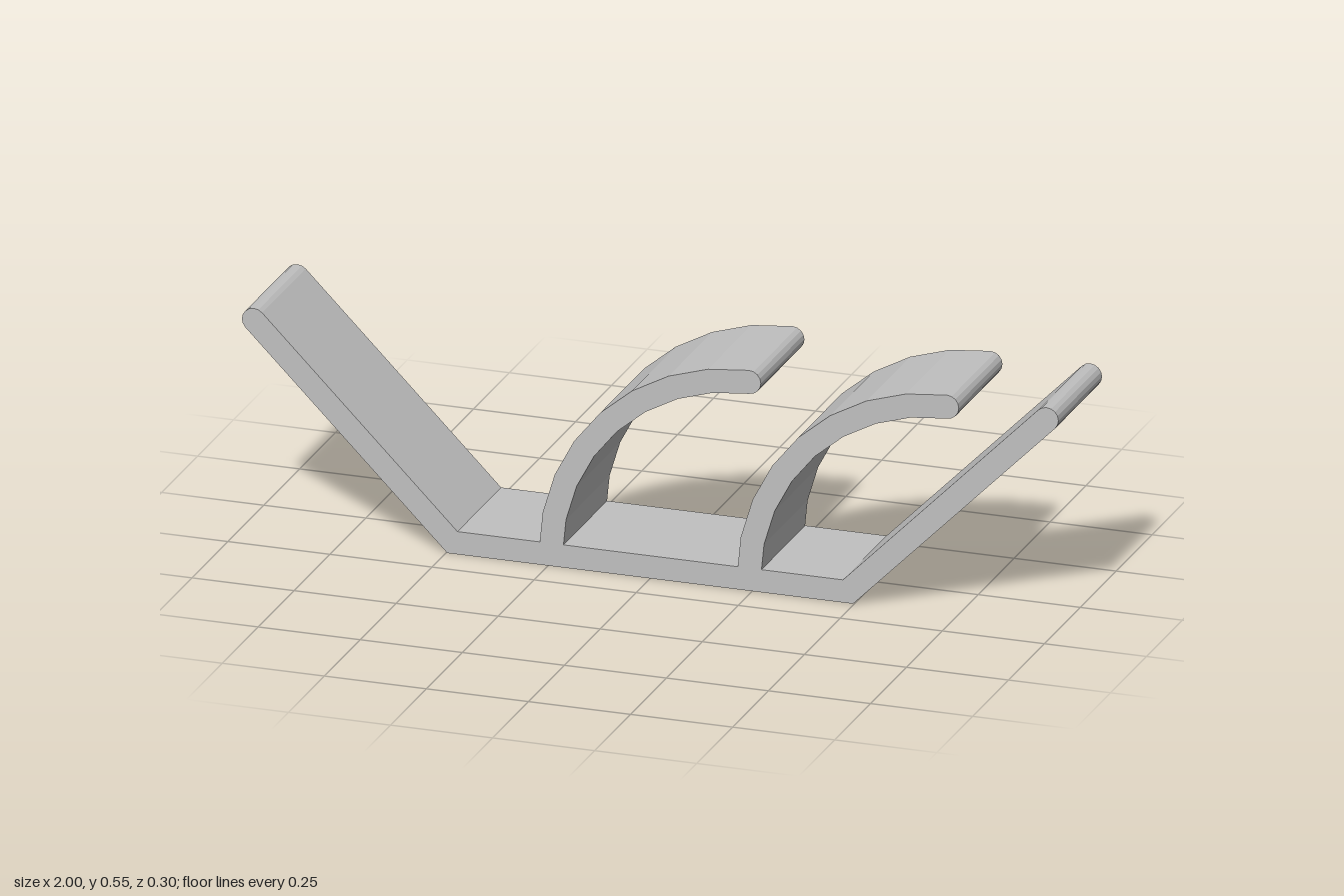
import * as THREE from 'three';

const WIDTH = 0.304;   // depth along z
const HALF = 0.029;    // half the sheet thickness

// points along a circular arc, angles in degrees
function arc(cx, cy, r, from, to, steps) {
  const pts = [];
  for (let i = 0; i <= steps; i++) {
    const a = THREE.MathUtils.degToRad(from + ((to - from) * i) / steps);
    pts.push(new THREE.Vector2(cx + r * Math.cos(a), cy + r * Math.sin(a)));
  }
  return pts;
}

function extrude(name, pts, material) {
  const geo = new THREE.ExtrudeGeometry(new THREE.Shape(pts), { depth: WIDTH, bevelEnabled: false });
  geo.translate(0, 0, -WIDTH / 2);
  const mesh = new THREE.Mesh(geo, material);
  mesh.name = name;
  return mesh;
}

export function createModel() {
  const group = new THREE.Group();
  group.name = 'rack';
  const grey = new THREE.MeshStandardMaterial({ color: 0xc0c0c0, flatShading: true });
  grey.name = 'light grey';

  // tray: flat base with two 45 degree walls ending in rounded lips
  const tipX = 1 - HALF, tipY = 0.545 - HALF;
  const top = HALF * 2 - 0.002;
  const rightHalf = [
    new THREE.Vector2(0.497, 0),
    ...arc(tipX, tipY, HALF, -45, 135, 8),
    new THREE.Vector2(0.472, top),
  ];
  const leftHalf = rightHalf.map((p) => new THREE.Vector2(-p.x, p.y)).reverse();
  group.add(extrude('tray', [...rightHalf, ...leftHalf], grey));

  // curved dividers: faceted quarter arcs with rounded tips, rooted in the base
  const radius = 0.486, cy = tipY - radius;
  for (const [name, cx] of [['leftDivider', 0.727], ['rightDivider', 0.242]]) {
    group.add(extrude(name, [
      ...arc(cx, cy, radius - HALF, 180, 90, 8),
      ...arc(cx, tipY, HALF, -90, 90, 8).slice(1, -1),
      ...arc(cx, cy, radius + HALF, 90, 180, 8),
    ], grey));
  }
  return group;
}
